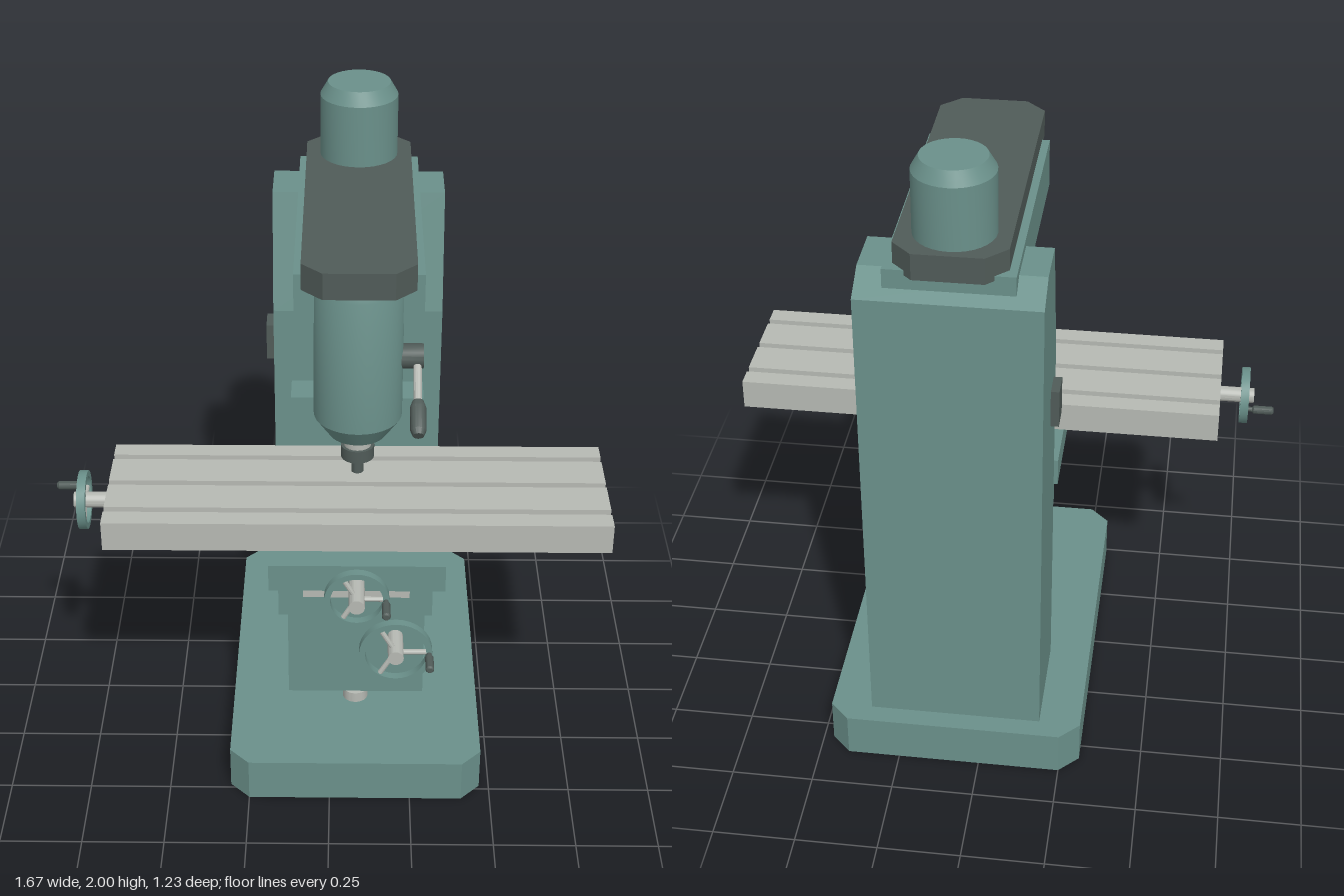
import * as THREE from 'three';
import { toCreasedNormals } from 'three/addons/utils/BufferGeometryUtils.js';

const paint = (color) => new THREE.MeshStandardMaterial({ color });
const CX = 0.08; // centre line of the machine body

export function createModel() {
  const model = new THREE.Group();
  const green = paint(0x6a908a), steel = paint(0xb6b9b3), dark = paint(0x505b58);

  const add = (name, geometry, material, parent = model) => {
    const mesh = new THREE.Mesh(geometry, material);
    mesh.name = name;
    parent.add(mesh);
    return mesh;
  };

  // Box given by its limits on each axis
  const box = (name, material, [x0, x1], [y0, y1], [z0, z1]) =>
    add(name, new THREE.BoxGeometry(x1 - x0, y1 - y0, z1 - z0), material)
      .position.set((x0 + x1) / 2, (y0 + y1) / 2, (z0 + z1) / 2);

  // Side outline of [z, y] points, extruded along x
  const sideExtrude = (name, material, points, x0, x1) => {
    const shape = new THREE.Shape(points.map(([z, y]) => new THREE.Vector2(-z, y)));
    const g = new THREE.ExtrudeGeometry(shape, { depth: x1 - x0, bevelEnabled: false });
    add(name, g.rotateY(Math.PI / 2).translate(x0, 0, 0), material);
  };

  // Rectangular plate with cut corners, extruded upwards
  const cutPlate = (name, material, [x0, x1], [y0, y1], [z0, z1], c) => {
    const pts = [[x0 + c, z1], [x1 - c, z1], [x1, z1 - c], [x1, z0 + c],
      [x1 - c, z0], [x0 + c, z0], [x0, z0 + c], [x0, z1 - c]];
    const shape = new THREE.Shape(pts.map(([x, z]) => new THREE.Vector2(x, -z)));
    const g = new THREE.ExtrudeGeometry(shape, { depth: y1 - y0, bevelEnabled: false });
    add(name, g.rotateX(-Math.PI / 2).translate(0, y0, 0), material);
  };

  // Turned part from [radius, height] points, bottom to top
  const turned = (points, sides = 32) => toCreasedNormals(
    new THREE.LatheGeometry(points.map(([r, y]) => new THREE.Vector2(r, y)), sides), 0.5);
  const rod = (r, y0, y1, sides = 20) => turned([[0, y0], [r, y0], [r, y1], [0, y1]], sides);

  // Base and column
  cutPlate('base', green, [-0.31, 0.47], [0, 0.14], [-0.615, 0.545], 0.06);
  sideExtrude('column', green, [[-0.217, 0.14], [-0.217, 1.315], [-0.3, 1.68],
    [-0.46, 1.68], [-0.553, 1.625], [-0.553, 0.14]], -0.183, 0.343);
  box('switchBox', dark, [-0.208, -0.18], [1.115, 1.235], [-0.35, -0.27]);

  // Knee with its lifting screw
  sideExtrude('knee', green, [[0.376, 0.29], [0.376, 0.68], [-0.11, 0.68],
    [-0.11, 1.065], [-0.217, 1.065], [-0.217, 0.29]], -0.128, 0.288);
  const screw = add('kneeScrew', turned([[0, 0.14], [0.04, 0.14], [0.04, 0.175],
    [0.026, 0.175], [0.026, 0.3], [0, 0.3]], 24), steel);
  screw.position.set(CX, 0, 0.208);

  // Saddle and slides below the table
  box('saddleSlide', steel, [-0.08, 0.24], [0.67, 0.715], [-0.11, 0.403]);
  box('saddle', green, [-0.183, 0.345], [0.71, 0.8], [-0.085, 0.425]);
  box('tableSlide', steel, [-0.505, 0.667], [0.79, 0.836], [0.12, 0.315]);
  box('tableSupport', green, [-0.57, 0.725], [0.835, 0.865], [0.064, 0.376]);

  // Table with three T-slots
  const tableOutline = [[0.437, 0.862], [0.437, 0.956]];
  for (const z of [0.363, 0.217, 0.071]) {
    tableOutline.push([z + 0.012, 0.956], [z + 0.012, 0.932], [z + 0.028, 0.932], [z + 0.028, 0.9],
      [z - 0.028, 0.9], [z - 0.028, 0.932], [z - 0.012, 0.932], [z - 0.012, 0.956]);
  }
  tableOutline.push([-0.002, 0.956], [-0.002, 0.862]);
  sideExtrude('table', steel, tableOutline, -0.67, 0.83);

  // Overarm, belt cover and motor
  box('overarm', green, [-0.103, 0.265], [1.553, 1.705], [-0.517, 0.31]);
  cutPlate('beltCover', dark, [-0.08, 0.24], [1.69, 1.77], [-0.54, 0.435], 0.06);
  add('motor', turned([[0, 1.76], [0.118, 1.76], [0.118, 1.96], [0.095, 2], [0, 2]]), green)
    .position.set(CX, 0, -0.398);

  // Spindle head
  const head = new THREE.Group();
  head.name = 'spindleHead';
  head.position.set(CX, 0, 0.287);
  model.add(head);
  add('headHousing', turned([[0, 1.188], [0.085, 1.188], [0.128, 1.25], [0.128, 1.665],
    [0.115, 1.695], [0, 1.695]]), green, head);
  add('spindleNose', rod(0.04, 1.13, 1.2), steel, head);
  add('chuck', rod(0.049, 1.103, 1.142), dark, head);
  add('cutter', rod(0.018, 1.05, 1.11), dark, head);

  // Quill lever on the left of the head, sloping forward and down
  const lever = new THREE.Group();
  lever.name = 'quillLever';
  lever.position.set(0.248, 1.437, 0.287);
  lever.rotation.x = Math.PI / 2 + 0.51;
  model.add(lever);
  add('leverRod', rod(0.012, 0, 0.19, 12), steel, lever);
  add('leverGrip', turned([[0, 0.15], [0.016, 0.15], [0.023, 0.17], [0.023, 0.245],
    [0.016, 0.262], [0, 0.262]], 16), dark, lever);
  add('leverHub', rod(0.036, -0.06, 0.018).rotateZ(-Math.PI / 2), dark, lever);

  // Handwheel whose axis points along local +y, with the crank grip along local +x
  const handwheel = (name, radius, shaftLength, hubLength) => {
    const wheel = new THREE.Group();
    wheel.name = name;
    const inner = radius - 0.018, t = 0.013;
    add('rim', turned([[inner, -t], [radius, -t], [radius, t], [inner, t], [inner, -t]]), green, wheel);
    add('shaft', rod(0.024, -shaftLength, hubLength), steel, wheel);
    for (let i = 0; i < 3; i++) {
      const spoke = rod(0.008, 0, inner + 0.006, 10).rotateZ(-Math.PI / 2);
      add('spoke', spoke.rotateY(i * Math.PI * 2 / 3), steel, wheel);
    }
    add('grip', turned([[0, 0], [0.008, 0], [0.008, 0.025], [0.013, 0.03],
      [0.013, 0.086], [0.009, 0.092], [0, 0.092]], 14), dark, wheel)
      .position.x = radius - 0.01;
    model.add(wheel);
    return wheel;
  };
  const saddleWheel = handwheel('saddleHandwheel', 0.096, 0.11, 0.045);
  saddleWheel.position.set(CX, 0.753, 0.523);
  saddleWheel.rotation.x = Math.PI / 2;
  const kneeWheel = handwheel('kneeHandwheel', 0.111, 0.09, 0.035);
  kneeWheel.position.set(0.2, 0.505, 0.453);
  kneeWheel.rotation.x = Math.PI / 2;
  // Axis towards -x, grip towards -z
  const tableWheel = handwheel('tableHandwheel', 0.089, 0.1, 0.03);
  tableWheel.position.set(-0.747, 0.894, 0.217);
  tableWheel.quaternion.setFromRotationMatrix(new THREE.Matrix4().makeBasis(
    new THREE.Vector3(0, 0, -1), new THREE.Vector3(-1, 0, 0), new THREE.Vector3(0, 1, 0)));

  return model;
}
